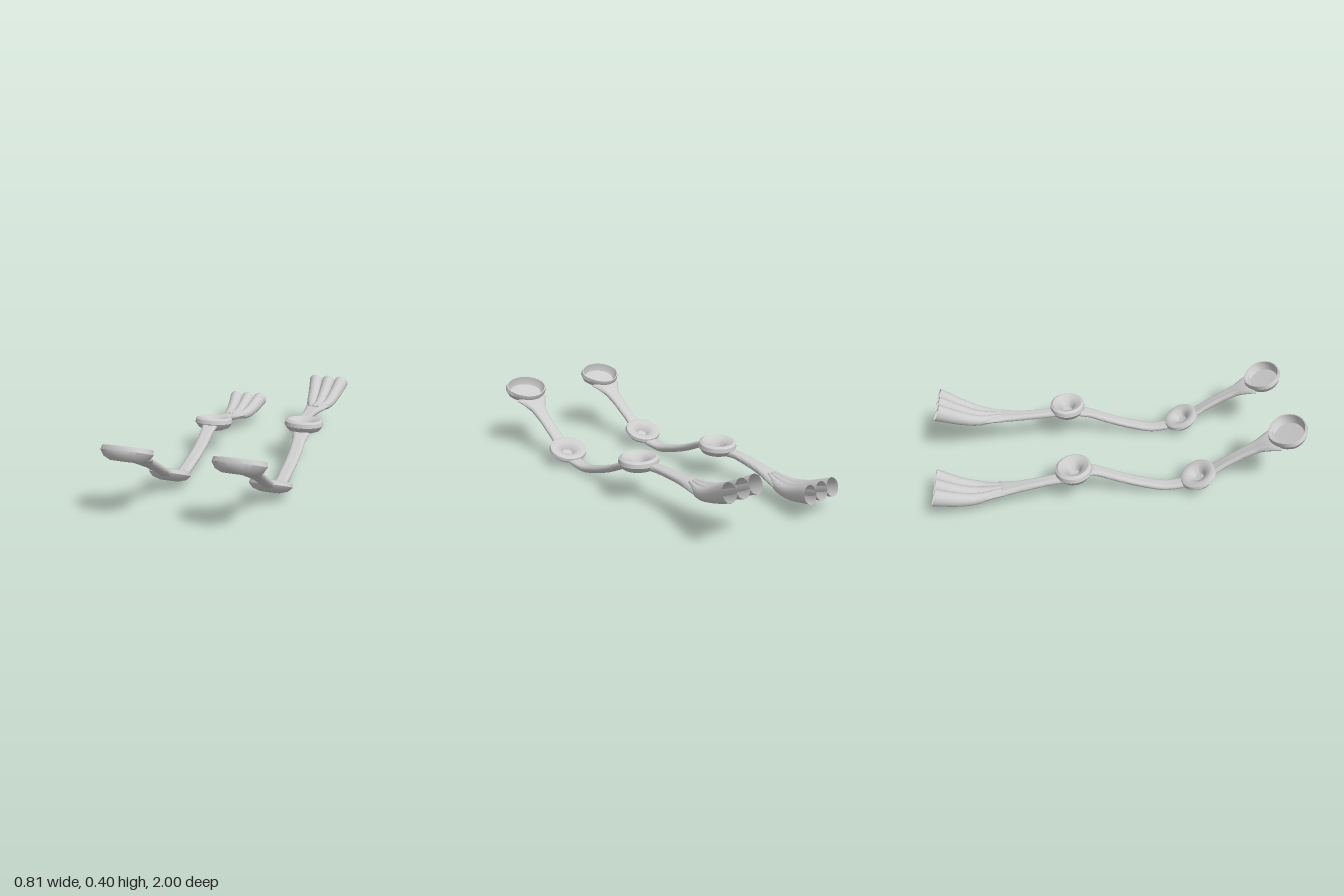
import * as THREE from 'three';
import { toCreasedNormals } from 'three/addons/utils/BufferGeometryUtils.js';

const material = new THREE.MeshStandardMaterial({ color: 0xcccccc, side: THREE.DoubleSide });

function part(name, geometry, parent) {
  const mesh = new THREE.Mesh(toCreasedNormals(geometry, 0.7), material);
  mesh.name = name;
  parent.add(mesh);
  return mesh;
}

// Sweep an oval along stations [x, y, z, halfWidth, halfHeight] running towards -z.
// groove hollows the upper face; open leaves the far end uncapped.
function sweep(stations, { groove = 0, open = false, steps = 20, sides = 18 } = {}) {
  const path = new THREE.CatmullRomCurve3(stations.map(s => new THREE.Vector3(s[0], s[1], s[2])));
  const size = new THREE.CatmullRomCurve3(stations.map(s => new THREE.Vector3(s[3], s[4], 0)));
  const right = new THREE.Vector3(1, 0, 0);
  const pos = [], index = [];
  const ring = (t, k) => {
    const c = path.getPoint(t), s = size.getPoint(t);
    const up = right.clone().cross(path.getTangent(t)).normalize();
    for (let j = 0; j < sides; j++) {
      const a = (j / sides) * Math.PI * 2, sin = Math.sin(a);
      const v = sin > 0 ? sin * (1 - groove * sin ** 4) : sin;
      const p = c.clone().addScaledVector(right, k * s.x * Math.cos(a)).addScaledVector(up, k * s.y * v);
      pos.push(p.x, p.y, p.z);
    }
  };
  ring(0, 0);
  for (let i = 0; i <= steps; i++) ring(i / steps, 1);
  if (!open) ring(1, 0);
  const rings = pos.length / 3 / sides;
  for (let i = 0; i < rings - 1; i++) {
    for (let j = 0; j < sides; j++) {
      const a = i * sides + j, b = i * sides + (j + 1) % sides;
      index.push(a, a + sides, b, b, a + sides, b + sides);
    }
  }
  const g = new THREE.BufferGeometry();
  g.setAttribute('position', new THREE.Float32BufferAttribute(pos, 3));
  g.setIndex(index);
  return g;
}

const lathe = points => new THREE.LatheGeometry(points.map(p => new THREE.Vector2(p[0], p[1])), 28);

// Dimpled disc joint of thickness t
function joint(name, t, y, z, tilt, parent) {
  const m = part(name, lathe([
    [0, -0.5 * t], [0.05, -0.48 * t], [0.09, -0.28 * t], [0.112, 0.1 * t], [0.108, 0.38 * t], [0.092, 0.5 * t],
    [0.065, 0.38 * t], [0.042, 0.15 * t], [0.03, -0.2 * t], [0, -0.27 * t],
  ]), parent);
  m.position.set(0.01, y, z);
  m.rotation.x = -tilt;
  m.scale.z = 0.9;
}

// hand: heights of wrist, mid palm, knuckles, finger middle and fingertip
function limb(name, x, hand, rearY, rearTilt) {
  const g = new THREE.Group();
  g.name = name;
  g.position.x = x;

  // Shallow open cup at the front, narrowing towards its neck
  const cupGeo = lathe([
    [0, -0.035], [0.08, -0.035], [0.112, -0.02], [0.13, 0.008], [0.125, 0.03],
    [0.118, 0.03], [0.112, 0.005], [0.1, -0.015], [0, -0.018],
  ]);
  const p = cupGeo.attributes.position;
  for (let i = 0; i < p.count; i++) {
    const back = Math.max(0, -p.getZ(i) / 0.13);
    p.setX(i, p.getX(i) * (1 - 0.15 * back));
    p.setZ(i, p.getZ(i) * 0.82);
  }
  const cup = part('cup', cupGeo, g);
  cup.position.set(0, 0.34, 0.9);
  cup.rotation.x = -0.4;

  // Grooved neck flaring into the cup
  part('neck', sweep([
    [0, 0.303, 0.84, 0.1, 0.018], [0.003, 0.288, 0.8, 0.078, 0.024], [0.01, 0.255, 0.74, 0.047, 0.025],
    [0.014, 0.21, 0.66, 0.037, 0.023], [0.015, 0.155, 0.57, 0.036, 0.022], [0.012, 0.105, 0.49, 0.045, 0.02],
  ], { groove: 0.45 }), g);

  joint('frontJoint', 0.06, 0.078, 0.435, 0.42, g);

  // Curved arm between the joints
  part('arm', sweep([
    [0.012, 0.05, 0.39, 0.045, 0.02], [0.012, 0.034, 0.32, 0.036, 0.022], [0.012, 0.03, 0.25, 0.034, 0.024],
    [0.014, 0.057, 0.14, 0.035, 0.024], [0.018, 0.105, 0, 0.036, 0.023], [0.016, 0.155, -0.11, 0.038, 0.023],
    [0.012, 0.18, -0.18, 0.05, 0.02],
  ], { groove: 0.35, steps: 28 }), g);

  joint('rearJoint', 0.078, rearY, -0.245, rearTilt, g);

  // Flat palm widening towards the fingers
  const [wrist, mid, knuckle, finger, tip] = hand;
  part('palm', sweep([
    [-0.014, wrist, -0.29, 0.038, 0.024], [-0.024, wrist, -0.36, 0.032, 0.024],
    [-0.028, mid, -0.53, 0.038, 0.025], [-0.022, (mid + knuckle) / 2, -0.64, 0.057, 0.026],
    [-0.014, knuckle, -0.76, 0.078, 0.024],
  ], { groove: 0.4 }), g);

  // Three flared, hollow fingers
  for (const k of [-1, 0, 1]) {
    part('finger', sweep([
      [-0.025 + k * 0.022, (mid + knuckle) / 2 + 0.008, -0.63, 0.012, 0.018],
      [-0.015 + k * 0.05, knuckle + 0.004, -0.75, 0.03, 0.029],
      [-0.012 + k * 0.064, finger, -0.85, 0.036, 0.038],
      [-0.01 + k * 0.082, tip, -0.983, 0.043, 0.049],
    ], { open: true }), g);
  }
  return g;
}

export function createModel() {
  const model = new THREE.Group();
  model.name = 'limbPair';
  model.add(limb('rightLimb', -0.275, [0.15, 0.125, 0.088, 0.1, 0.14], 0.17, 0.12));
  model.add(limb('leftLimb', 0.275, [0.2, 0.198, 0.202, 0.235, 0.295], 0.205, 0.04));
  return model;
}
